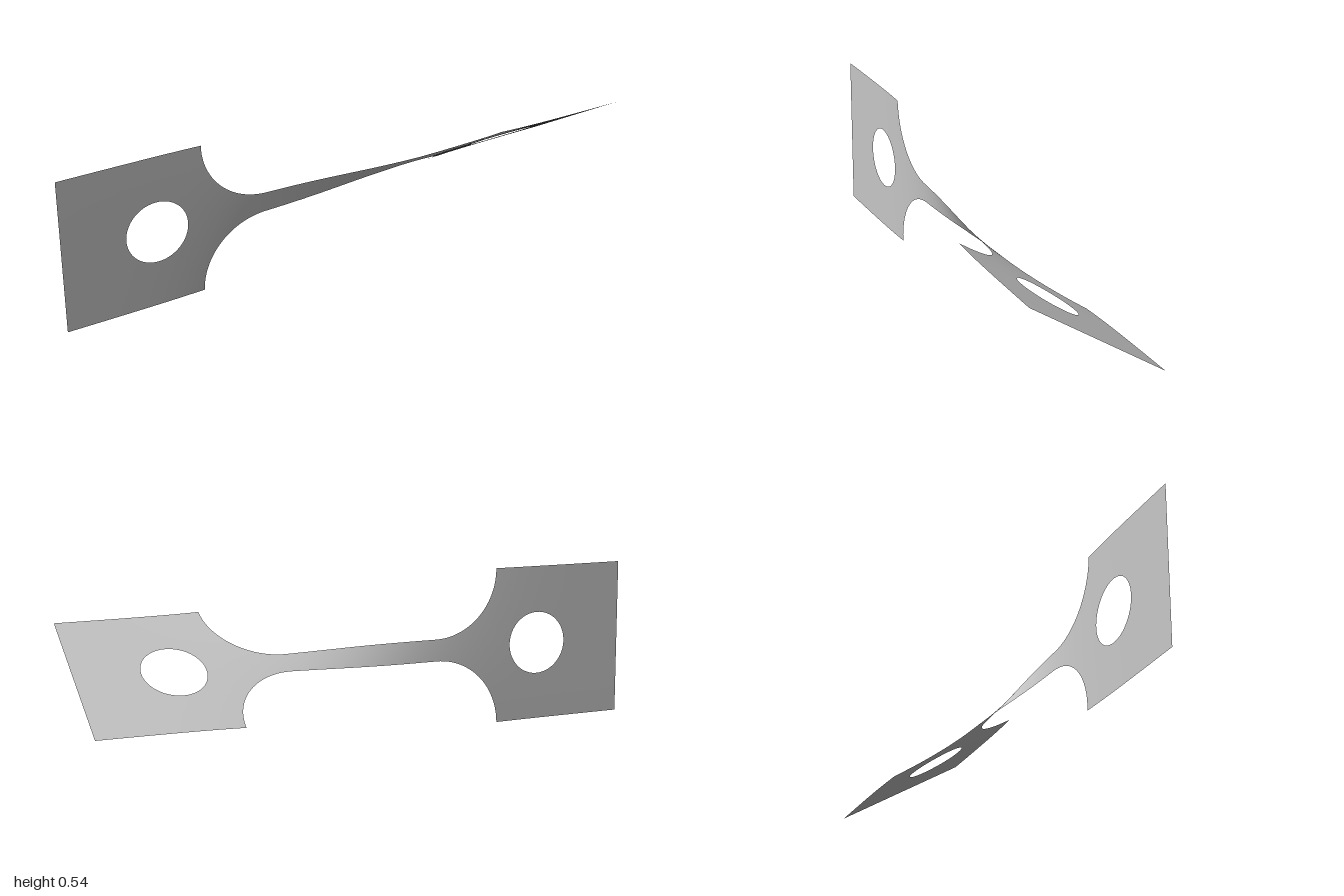
import * as THREE from 'three';

const HALF = 0.2715;      // half width of the end tabs
const NECK = 0.0375;      // half width of the narrow bar
const R = HALF - NECK;    // shoulder radius
const TAB = 0.508;        // x where the tabs meet the shoulders
const HOLE_X = 0.67, HOLE_R = 0.109;

// Twist about the x axis, easing to one radian at the right end
const twist = (x) => 1 / (1 + Math.exp(-7 * x));

// Half width of the strip at x
function outer(x) {
  const d = Math.abs(x) - (TAB - R);
  if (d <= 0) return NECK;
  if (Math.abs(x) >= TAB) return HALF;
  return NECK + R - Math.sqrt(Math.max(0, R * R - d * d));
}

// Half height of the round hole at x
function inner(x) {
  const d = Math.abs(x) - HOLE_X;
  return Math.sqrt(Math.max(0, HOLE_R * HOLE_R - d * d));
}

// n + 1 values from a to b, shaped by an easing function
const spread = (a, b, n, ease = (t) => t) =>
  Array.from({ length: n + 1 }, (_, i) => a + (b - a) * ease(i / n));

// Twisted sheet over the given x stations, as a lower and an upper band
function sheet(xs) {
  const rows = 8, pos = [], idx = [];
  for (const side of [-1, 1]) {
    const base = pos.length / 3;
    xs.forEach((x, i) => {
      const lo = side < 0 ? -outer(x) : inner(x);
      const hi = side < 0 ? -inner(x) : outer(x);
      for (let j = 0; j <= rows; j++) {
        const v = lo + (hi - lo) * j / rows;
        pos.push(x, HALF + v * Math.cos(twist(x)), v * Math.sin(twist(x)));
        if (i && j) {
          const d = base + i * (rows + 1) + j, c = d - rows - 1;
          idx.push(c - 1, d - 1, d, c - 1, d, c);
        }
      }
    });
  }
  const g = new THREE.BufferGeometry();
  g.setAttribute('position', new THREE.Float32BufferAttribute(pos, 3));
  g.setIndex(idx);
  g.computeVertexNormals();
  return g;
}

export function createModel() {
  const group = new THREE.Group();
  const metal = new THREE.MeshStandardMaterial({ color: 0xc8c8c8, side: THREE.DoubleSide });
  metal.name = 'grey metal';

  const add = (name, xs) => {
    const mesh = new THREE.Mesh(sheet(xs), metal);
    mesh.name = name;
    group.add(mesh);
  };

  // Tab stations crowd towards the sides of the hole so it stays round
  const tab = [
    ...spread(TAB, HOLE_X - HOLE_R, 4),
    ...spread(HOLE_X - HOLE_R, HOLE_X + HOLE_R, 40, (t) => (1 - Math.cos(Math.PI * t)) / 2).slice(1),
    ...spread(HOLE_X + HOLE_R, 1, 10).slice(1),
  ];
  // Shoulder stations crowd towards the steep corner of the arc
  const shoulder = spread(TAB - R, TAB, 28, (t) => Math.sin(t * Math.PI / 2));
  const mirror = (xs) => xs.map((x) => -x).reverse();

  add('rightTab', mirror(tab));
  add('rightShoulder', mirror(shoulder));
  add('twistedBar', spread(R - TAB, TAB - R, 48));
  add('leftShoulder', shoulder);
  add('leftTab', tab);
  return group;
}
